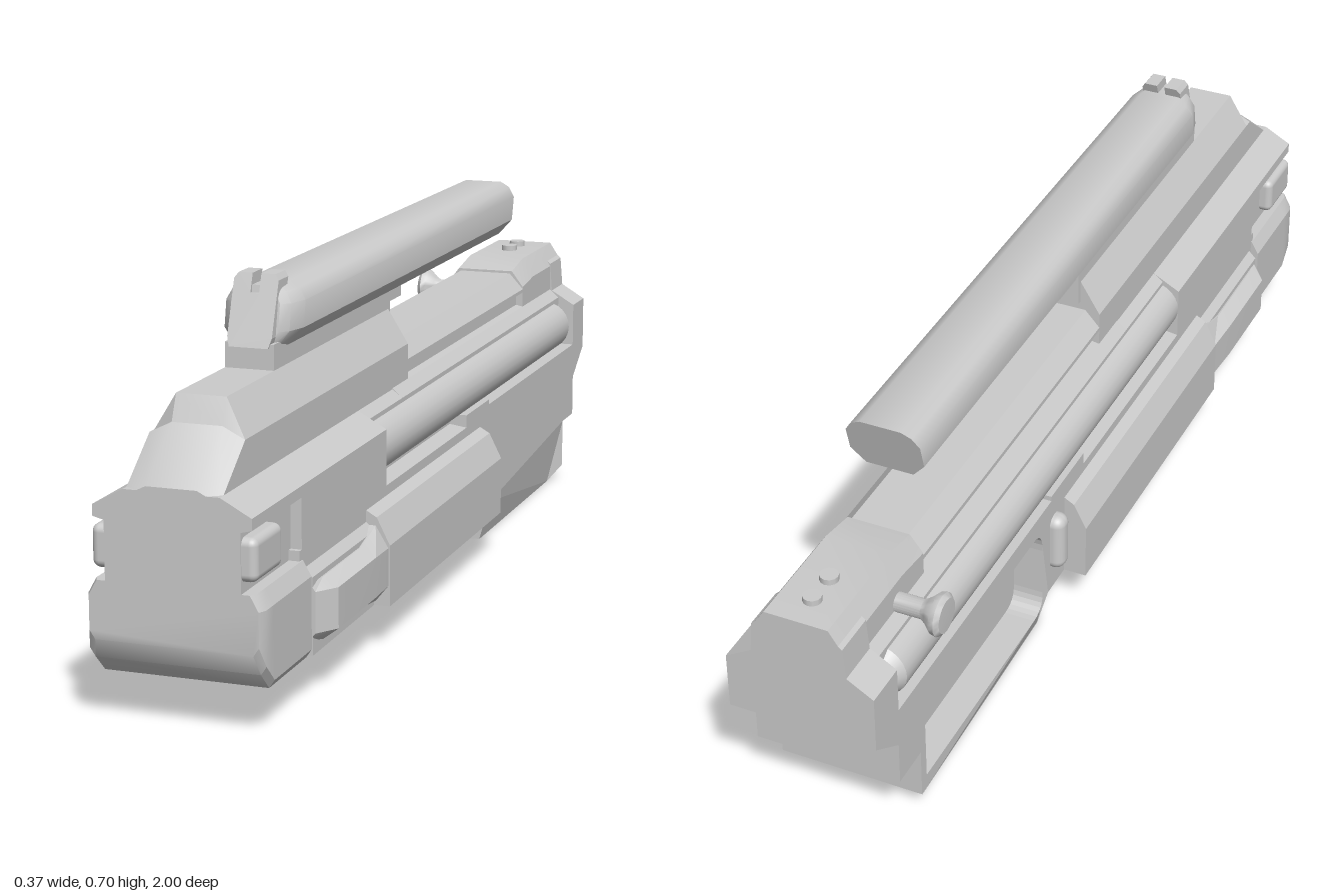
import * as THREE from 'three';
import { toCreasedNormals, mergeVertices } from 'three/addons/utils/BufferGeometryUtils.js';
import { RoundedBoxGeometry } from 'three/addons/geometries/RoundedBoxGeometry.js';

const grey = new THREE.MeshStandardMaterial({ color: 0xcccccc });

export function createModel() {
  const model = new THREE.Group();

  const add = (name, geometry, x = 0, y = 0, z = 0) => {
    const mesh = new THREE.Mesh(geometry, grey);
    mesh.name = name;
    mesh.position.set(x, y, z);
    model.add(mesh);
    return mesh;
  };

  // Skin through mirrored half outlines [x, y], bottom to top; stations run from back to front.
  const loft = (name, stations) => {
    const pos = [], index = [];
    const rings = stations.map(([z, half]) => {
      const ring = [...half, ...half.slice().reverse().map(([x, y]) => [-x, y])];
      ring.forEach(([x, y]) => pos.push(x, y, z));
      return ring.map(([x, y]) => new THREE.Vector2(x, y));
    });
    const n = rings[0].length, last = (rings.length - 1) * n;
    for (let i = 0; i < last; i += n) {
      for (let j = 0; j < n; j++) {
        const a = i + j, b = i + (j + 1) % n;
        index.push(a, b, a + n, b, b + n, a + n);
      }
    }
    THREE.ShapeUtils.triangulateShape(rings[0], []).forEach(([a, b, c]) => index.push(a, c, b));
    THREE.ShapeUtils.triangulateShape(rings.at(-1), [])
      .forEach(([a, b, c]) => index.push(last + a, last + b, last + c));
    const g = new THREE.BufferGeometry();
    g.setAttribute('position', new THREE.Float32BufferAttribute(pos, 3));
    g.setIndex(index);
    return add(name, toCreasedNormals(g, 0.45));
  };
  const prism = (name, z0, z1, half) => loft(name, [[z0, half], [z1, half]]);

  // Side profile [z, y] extruded between two x positions
  const polygon = (points) => new THREE.Shape(points.map(([x, y]) => new THREE.Vector2(x, y)));
  const slab = (name, shape, x0, x1, rule) => {
    const g = new THREE.ExtrudeGeometry(shape, { depth: x1 - x0, bevelEnabled: false, curveSegments: 6 });
    g.rotateY(-Math.PI / 2).translate(x1, 0, 0);
    const p = g.attributes.position;
    if (rule) for (let i = 0; i < p.count; i++) rule(p, i);
    g.computeVertexNormals();
    return add(name, g);
  };

  // Rear lower housing: solid on the left, open well on the right
  const housing = () => polygon([[-0.2, 0.082], [-0.295, 0.082], [-0.295, 0], [-0.8, 0], [-0.84, 0.03],
    [-0.84, 0.13], [-0.92, 0.13], [-0.92, 0.215], [-1, 0.27], [-1, 0.29], [-0.2, 0.29]]);
  const taper = (p, i) => {
    if (p.getY(i) < 0.02 && Math.abs(p.getX(i)) > 0.13) p.setX(i, Math.sign(p.getX(i)) * 0.117);
  };
  slab('lowerHousing', housing(), -0.08, 0.14, taper);
  const frame = housing();
  const well = new THREE.Path();
  well.moveTo(-0.8, 0.06).lineTo(-0.36, 0.06).quadraticCurveTo(-0.32, 0.06, -0.32, 0.1)
    .lineTo(-0.32, 0.2).quadraticCurveTo(-0.32, 0.25, -0.36, 0.25)
    .lineTo(-0.77, 0.25).quadraticCurveTo(-0.82, 0.25, -0.82, 0.2).lineTo(-0.82, 0.06);
  frame.holes.push(well);
  slab('wellFrame', frame, -0.14, -0.08, taper);

  // Upper body, with long side channels and narrow rail slots
  const slot = [[0.085, 0.412], [0.07, 0.415], [0.07, 0.44], [0.085, 0.443]];
  const deck = [[0.085, 0.45], [0.055, 0.483]];
  const channel = [[0.14, 0.255], [0.14, 0.275], [0.105, 0.28], [0.105, 0.395]];
  prism('slottedBody', -0.92, 0.16, [...channel, ...slot, ...deck]);
  prism('channelBody', 0.16, 0.35, [...channel, [0.085, 0.41], ...deck]);
  prism('midBody', 0.35, 0.78, [[0.14, 0.24], [0.14, 0.38], [0.085, 0.41], ...deck]);
  prism('lowerBody', -0.22, 0.79, [[0.14, 0.082], [0.14, 0.27]]);
  prism('rearBlock', -1, -0.915, [[0.14, 0.272], [0.14, 0.38], [0.09, 0.41], [0.085, 0.47], [0.055, 0.495]]);
  loft('rearDeck', [
    [-1, [[0.085, 0.4], [0.085, 0.465], [0.06, 0.503]]],
    [-0.78, [[0.085, 0.4], [0.085, 0.465], [0.06, 0.503]]],
    [-0.7, [[0.085, 0.4], [0.085, 0.455], [0.06, 0.488]]],
  ]);
  for (const z of [-0.94, -0.88]) add('deckScrew', new THREE.CylinderGeometry(0.017, 0.017, 0.02, 12), 0, 0.504, z);

  // Raised front body with sloping nose
  const hump = (y) => [[0.085, 0.38], [0.085, Math.min(0.48, y - 0.02)], [0.045, y]];
  loft('raisedBody', [[0.07, hump(0.545)], [0.87, hump(0.545)], [0.89, hump(0.5)], [1, hump(0.418)]]);
  prism('topNeck', 0.06, 0.66, [[0.045, 0.5], [0.045, 0.59]]);
  prism('neckTail', -0.02, 0.08, [[0.04, 0.555], [0.04, 0.6]]);
  prism('noseShoulder', 0.77, 1, [[0.12, 0.24], [0.12, 0.355], [0.14, 0.36], [0.14, 0.38], [0.085, 0.41]]);
  const chin = (b, w) => [[w - 0.01, b], [w, b + 0.015], [w, 0.225], [w - 0.015, 0.252]];
  loft('frontBlock', [[0.78, chin(0.082, 0.157)], [0.95, chin(0.082, 0.157)],
    [0.985, chin(0.115, 0.157)], [1, chin(0.15, 0.15)]]);

  // Wide lower guard and its front shoulders
  prism('lowerGuard', -0.22, 0.46, [[0.185, 0.082], [0.185, 0.195], [0.16, 0.245], [0.13, 0.262]]);
  prism('guardStep', 0.45, 0.77, [[0.155, 0.082], [0.155, 0.22], [0.135, 0.24]]);
  loft('sidePads', [
    [0.46, [[0.158, 0.09], [0.182, 0.12], [0.182, 0.19], [0.158, 0.23]]],
    [0.54, [[0.158, 0.1], [0.187, 0.122], [0.187, 0.195], [0.158, 0.21]]],
    [0.73, [[0.158, 0.1], [0.187, 0.122], [0.187, 0.195], [0.158, 0.21]]],
    [0.77, [[0.15, 0.11], [0.16, 0.122], [0.16, 0.195], [0.15, 0.21]]],
  ]);

  // Mirrored side rods, lower lips and nose pins
  for (const s of [-1, 1]) {
    const rod = new THREE.CylinderGeometry(0.053, 0.053, 1.23, 24).rotateX(Math.PI / 2);
    add('sideRod', rod, s * 0.087, 0.337, -0.265);
    const tip = new THREE.CylinderGeometry(0.053, 0.035, 0.03, 24).rotateX(Math.PI / 2);
    add('sideRodTip', tip, s * 0.087, 0.337, -0.895);
    add('channelLip', new THREE.BoxGeometry(0.04, 0.03, 0.15), s * 0.12, 0.285, -0.205);
    add('nosePin', new RoundedBoxGeometry(0.06, 0.075, 0.12, 3, 0.014), s * 0.116, 0.308, 0.938);
  }

  // Long top tube, rear end cut at a slant
  const tube = (w) => [[0.64 * w, 0.578], [w, 0.608], [w, 0.655], [0.82 * w, 0.675], [0.55 * w, 0.685]];
  const top = loft('topTube', [[-0.665, tube(0.071)], [0.58, tube(0.071)], [0.62, tube(0.06)], [0.635, tube(0.045)]]);
  const tp = top.geometry.attributes.position;
  for (let i = 0; i < tp.count; i++) {
    const z = tp.getZ(i), k = z < 0 ? 0.28 : 0.2;
    tp.setZ(i, z - (tp.getY(i) - 0.63) * k);
  }
  top.geometry.computeVertexNormals();
  top.geometry = toCreasedNormals(mergeVertices(top.geometry.deleteAttribute('normal')), 0.6);

  // Notched front sight, leaning back
  const sight = new THREE.ExtrudeGeometry(polygon([[-0.036, 0.583], [0.036, 0.583], [0.041, 0.6], [0.041, 0.695],
    [0.034, 0.705], [0.008, 0.705], [0.008, 0.672], [-0.008, 0.672], [-0.008, 0.705], [-0.034, 0.705],
    [-0.041, 0.695], [-0.041, 0.6]]), { depth: 0.045, bevelEnabled: false });
  const sp = sight.attributes.position;
  for (let i = 0; i < sp.count; i++) sp.setZ(i, sp.getZ(i) + 0.62 - (sp.getY(i) - 0.583) * 0.36);
  sight.computeVertexNormals();
  add('frontSight', sight);

  // Flared handle and push button on the right
  const handle = new THREE.LatheGeometry([[0, 0], [0.018, 0], [0.018, 0.065], [0.024, 0.075], [0.038, 0.09],
    [0.04, 0.1], [0.032, 0.108], [0, 0.109]].map(([r, h]) => new THREE.Vector2(r, h)), 24);
  add('handle', toCreasedNormals(handle.rotateZ(Math.PI / 2), 0.7), -0.07, 0.423, -0.8);
  add('pushButton', new RoundedBoxGeometry(0.05, 0.12, 0.045, 4, 0.02), -0.14, 0.19, -0.265);

  return model;
}
